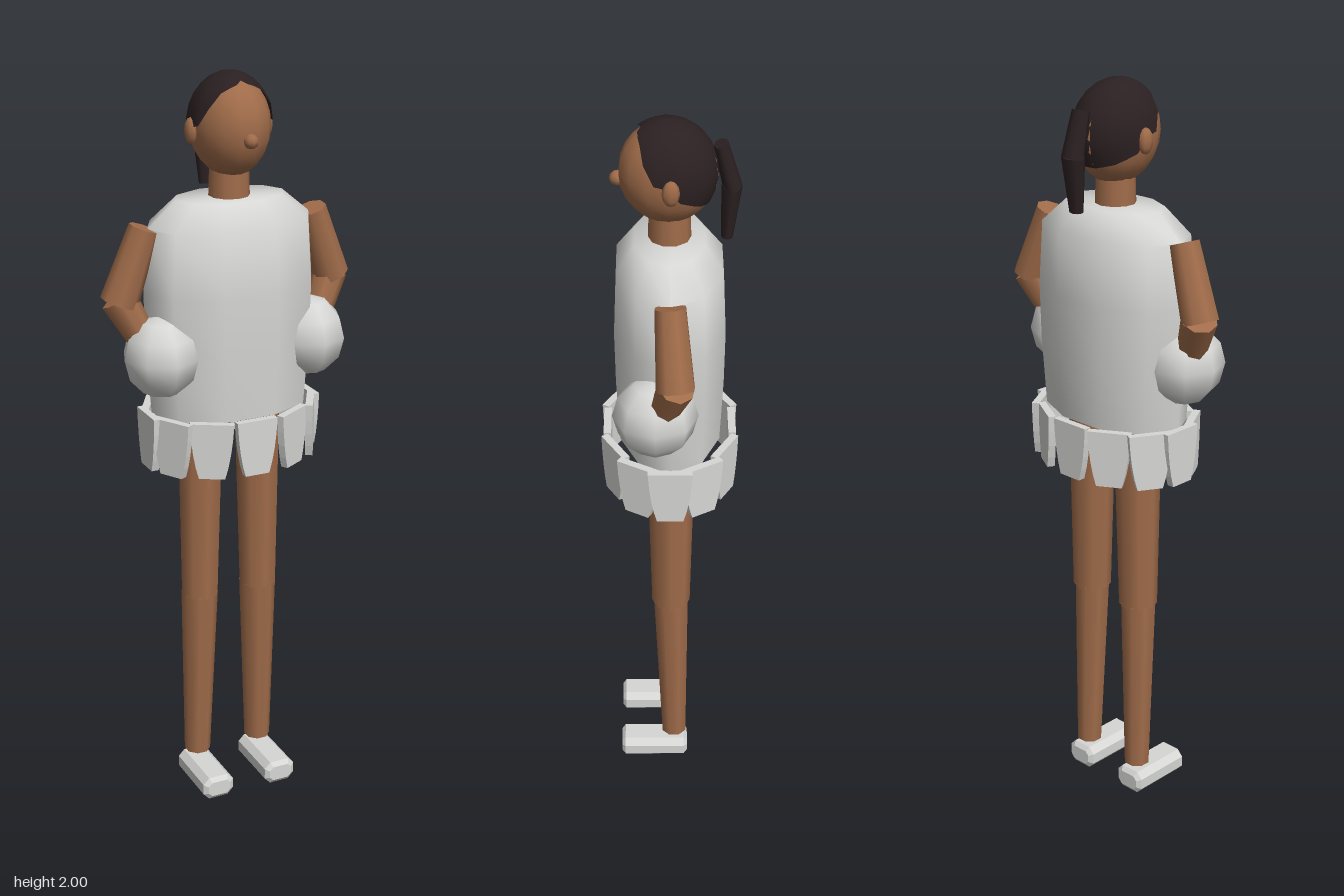
import * as THREE from 'three';
import { toCreasedNormals } from 'three/addons/utils/BufferGeometryUtils.js';

const material = (name, color, side = THREE.FrontSide) => {
  const m = new THREE.MeshStandardMaterial({ color, side });
  m.name = name;
  return m;
};

export function createModel() {
  const skin = material('skin', 0xa06c4a);
  const white = material('white', 0xd6d6d4);
  const hairDark = material('dark hair', 0x2b2021, THREE.DoubleSide);
  const model = new THREE.Group();
  model.name = 'cheerleader';

  const add = (name, geometry, mat, x = 0, y = 0, z = 0) => {
    const mesh = new THREE.Mesh(geometry, mat);
    mesh.name = name;
    mesh.position.set(x, y, z);
    model.add(mesh);
    return mesh;
  };

  // Tapered limb running from point a (radius ra) to point b (radius rb)
  const limb = (name, mat, a, b, ra, rb, sides = 8, flat = 1) => {
    const from = new THREE.Vector3(...a), to = new THREE.Vector3(...b);
    const dir = to.clone().sub(from);
    const geo = new THREE.CylinderGeometry(rb, ra, dir.length(), sides);
    geo.scale(1, 1, flat);
    const mesh = add(name, geo, mat);
    mesh.position.copy(from).add(to).multiplyScalar(0.5);
    mesh.quaternion.setFromUnitVectors(new THREE.Vector3(0, 1, 0), dir.normalize());
    return mesh;
  };

  const ellipsoid = (rx, ry, rz, w, h) =>
    new THREE.SphereGeometry(1, w, h).scale(rx, ry, rz);

  // Sweater: ten-sided oval body with sloping shoulders
  const profile = [[0, 1.12], [0.222, 1.12], [0.236, 1.3], [0.24, 1.45], [0.228, 1.62], [0.15, 1.685], [0, 1.685]]
    .map(([r, y]) => new THREE.Vector2(r, y));
  const torso = new THREE.LatheGeometry(profile, 10, Math.PI / 2).scale(1, 1, 0.61);
  add('sweater', toCreasedNormals(torso, 1.0), white);

  // Skirt: twelve tapered pleats set around an oval
  const pleat = new THREE.Shape();
  pleat.moveTo(-0.057, 0.075);
  pleat.quadraticCurveTo(-0.052, -0.02, -0.034, -0.075);
  pleat.lineTo(0.034, -0.075);
  pleat.quadraticCurveTo(0.052, -0.02, 0.057, 0.075);
  const pleatGeo = new THREE.ExtrudeGeometry(pleat, { depth: 0.02, bevelEnabled: false, curveSegments: 4 });
  pleatGeo.translate(0, 0, -0.01);
  for (let i = 0; i < 12; i++) {
    const a = (i * Math.PI) / 6;
    add('skirtPleat', pleatGeo, white, 0.23 * Math.sin(a), 1.055, 0.163 * Math.cos(a)).rotation.y = a;
  }

  // Shoe: chamfered section swept from heel to toe
  const sole = new THREE.Shape();
  [[-0.045, -0.015], [-0.028, -0.033], [0.028, -0.033], [0.045, -0.015],
    [0.045, 0.015], [0.028, 0.033], [-0.028, 0.033], [-0.045, 0.015]]
    .forEach(([x, y], i) => (i ? sole.lineTo(x, y) : sole.moveTo(x, y)));
  const shoeGeo = new THREE.ExtrudeGeometry(sole, {
    depth: 0.17, bevelEnabled: true, bevelThickness: 0.01, bevelSize: 0.012, bevelOffset: -0.012, bevelSegments: 1,
  });

  for (const s of [1, -1]) {
    const side = s > 0 ? 'left' : 'right';
    // Legs and shoes
    limb(side + 'Thigh', skin, [s * 0.083, 1.14, -0.003], [s * 0.088, 0.58, -0.003], 0.064, 0.052);
    limb(side + 'Shin', skin, [s * 0.088, 0.585, -0.003], [s * 0.094, 0.085, -0.012], 0.05, 0.036);
    add(side + 'Shoe', shoeGeo, white, s * 0.095, 0.036, -0.04);
    // Arms bent to the hips
    limb(side + 'UpperArm', skin, [s * 0.235, 1.625, 0], [s * 0.302, 1.435, -0.012], 0.04, 0.05);
    limb(side + 'Forearm', skin, [s * 0.302, 1.445, -0.015], [s * 0.25, 1.34, 0.015], 0.047, 0.038);
    add(side + 'Pompom', ellipsoid(0.1, 0.108, 0.108, 8, 6), white, s * 0.21, 1.295, 0.037);
    // Ear
    add(side + 'Ear', ellipsoid(0.016, 0.034, 0.022, 8, 6), skin, s * 0.104, 1.857, -0.002);
  }

  // Neck, head and nose
  add('neck', new THREE.CylinderGeometry(0.05, 0.054, 0.13, 10), skin, 0, 1.725, 0);
  add('head', ellipsoid(0.1, 0.13, 0.122, 14, 12), skin, 0, 1.865, 0.003);
  add('nose', ellipsoid(0.019, 0.019, 0.021, 8, 6), skin, 0, 1.845, 0.125);

  // Hair cap: its lower edge follows a hairline, given as polar angle from front to back
  const hairline = [0.5, 0.62, 0.7, 0.82, 1.15, 1.5, 1.55, 1.85, 1.95, 2.05, 2.1, 2.15, 2.15];
  const cols = 24, rows = 8;
  const hairGeo = new THREE.PlaneGeometry(1, 1, cols, rows);
  const pos = hairGeo.attributes.position;
  for (let i = 0; i < pos.count; i++) {
    const c = i % (cols + 1), r = Math.floor(i / (cols + 1));
    const phi = (c / cols) * Math.PI * 2;
    const theta = (hairline[Math.min(c, cols - c)] * r) / rows;
    pos.setXYZ(i, 0.107 * Math.sin(theta) * Math.sin(phi), 0.135 * Math.cos(theta),
      0.125 * Math.sin(theta) * Math.cos(phi));
  }
  hairGeo.computeVertexNormals();
  add('hair', hairGeo, hairDark, 0, 1.865, 0.006);

  // Ponytail in two tapered pieces
  limb('ponytailTop', hairDark, [0, 1.82, -0.152], [0, 1.935, -0.122], 0.034, 0.026, 8, 0.7);
  limb('ponytailEnd', hairDark, [0, 1.825, -0.15], [0, 1.685, -0.14], 0.034, 0.02, 8, 0.75);

  return model;
}
